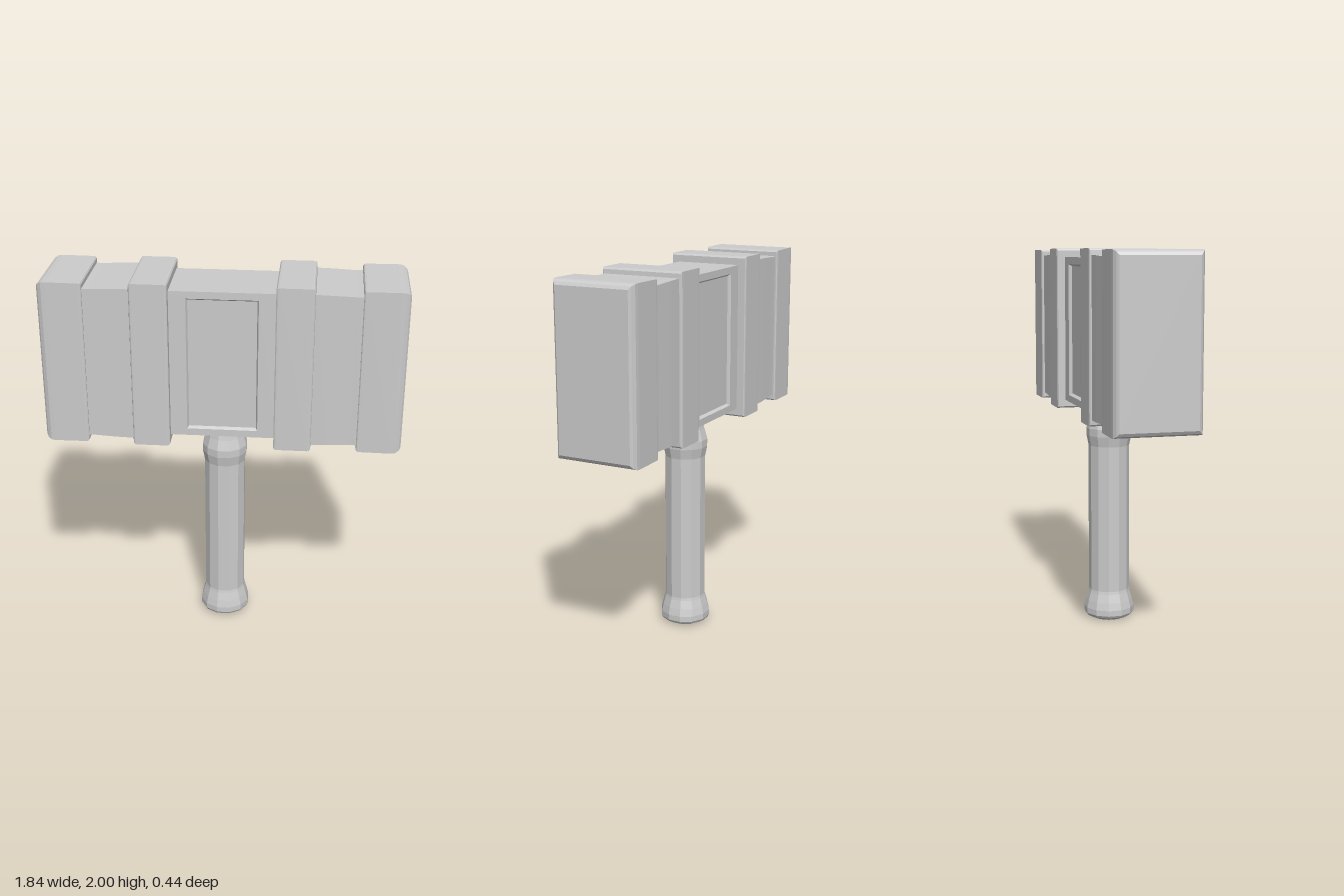
import * as THREE from 'three';

const material = new THREE.MeshStandardMaterial({ color: 0xcccccc, flatShading: true, roughness: 0.8 });
const HEAD_Y = 1.5625;

// Skins a row of rectangles [z, halfHeight, halfWidth] along z and caps the ends
function loftRects(sections, capStart) {
  const rings = sections.map(([z, h, w]) => [[-w, -h, z], [w, -h, z], [w, h, z], [-w, h, z]]);
  const pos = [];
  const quad = (a, b, c, d) => pos.push(...a, ...b, ...c, ...a, ...c, ...d);
  for (let i = 0; i < rings.length - 1; i++) {
    const A = rings[i], B = rings[i + 1];
    for (let k = 0; k < 4; k++) {
      const n = (k + 1) % 4;
      quad(A[k], A[n], B[n], B[k]);
    }
  }
  quad(...rings[rings.length - 1]);
  if (capStart) quad(...[...rings[0]].reverse());
  const geometry = new THREE.BufferGeometry();
  geometry.setAttribute('position', new THREE.Float32BufferAttribute(pos, 3));
  geometry.computeVertexNormals();
  return geometry;
}

function addMesh(parent, name, geometry) {
  const mesh = new THREE.Mesh(geometry, material);
  mesh.name = name;
  parent.add(mesh);
  return mesh;
}

export function createModel() {
  const model = new THREE.Group();
  model.name = 'hammer';

  const head = new THREE.Group();
  head.name = 'head';
  head.position.y = HEAD_Y;
  model.add(head);

  // Striking ends: raised band, waist and bevelled cap
  const endSections = [
    [0.268, 0.428, 0.216], [0.274, 0.4355, 0.221], [0.282, 0.4375, 0.222],
    [0.443, 0.4375, 0.222], [0.452, 0.4355, 0.221], [0.458, 0.428, 0.216],
    [0.46, 0.406, 0.209], [0.54, 0.404, 0.209], [0.66, 0.399, 0.206], [0.692, 0.4, 0.206],
    [0.692, 0.422, 0.214], [0.697, 0.429, 0.219], [0.706, 0.431, 0.22],
    [0.87, 0.4325, 0.22], [0.893, 0.43, 0.218], [0.911, 0.421, 0.207], [0.92, 0.406, 0.195],
  ];
  // Centre block half with a sunken panel
  const panelSections = [
    [0, 0.3925, 0.28], [0.177, 0.3925, 0.28], [0.177, 0.355, 0.182],
    [0.172, 0.352, 0.179], [0.16, 0.345, 0.174],
  ];
  for (const [side, s] of [['left', 1], ['right', -1]]) {
    addMesh(head, side + 'End', loftRects(endSections, true)).rotation.y = s * Math.PI / 2;
  }
  for (const [side, turn] of [['front', 0], ['back', Math.PI]]) {
    addMesh(head, side + 'Panel', loftRects(panelSections, false)).rotation.y = turn;
  }

  // Twelve-sided handle with a flared pommel and a swollen collar
  const profile = [
    [0, 0], [0.095, 0], [0.128, 0.018], [0.135, 0.03], [0.135, 0.06], [0.126, 0.1], [0.113, 0.145],
    [0.11, 0.16], [0.11, 0.955], [0.121, 1.01], [0.121, 1.05], [0.105, 1.105], [0.1, 1.13], [0.1, 1.2],
  ].map(([r, y]) => new THREE.Vector2(r, y));
  addMesh(model, 'handle', new THREE.LatheGeometry(profile, 12, Math.PI / 12));

  return model;
}
